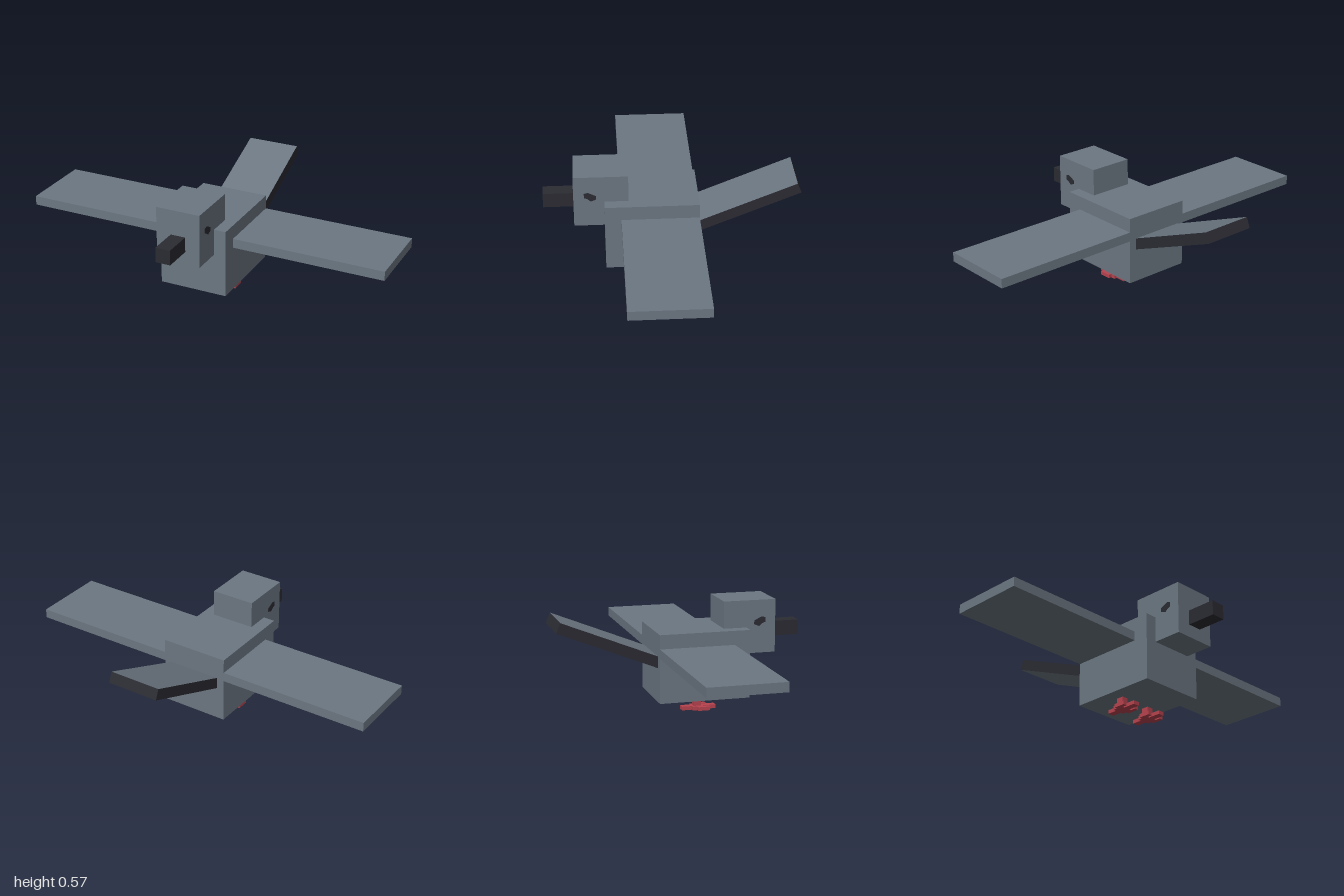
import * as THREE from 'three';

const mat = (name, color) => {
  const m = new THREE.MeshStandardMaterial({ color });
  m.name = name;
  return m;
};

export function createModel() {
  const group = new THREE.Group();
  const grey = mat('slateGrey', 0x6c7782);
  const dark = mat('charcoal', 0x2b2b33);
  const red = mat('footRed', 0xb8434f);

  const add = (name, geometry, material) => {
    const mesh = new THREE.Mesh(geometry, material);
    mesh.name = name;
    group.add(mesh);
    return mesh;
  };
  // box given by its lower and upper limits on each axis
  const box = (name, material, [x0, x1], [y0, y1], [z0, z1]) => {
    const mesh = add(name, new THREE.BoxGeometry(x1 - x0, y1 - y0, z1 - z0), material);
    mesh.position.set((x0 + x1) / 2, (y0 + y1) / 2, (z0 + z1) / 2);
    return mesh;
  };

  box('body', grey, [-0.185, 0.185], [0.065, 0.43], [-0.14, 0.35]);
  box('head', grey, [-0.12, 0.12], [0.29, 0.575], [0.225, 0.51]);
  box('beak', dark, [-0.04, 0.04], [0.36, 0.44], [0.51, 0.67]);

  // raised tail: grey above and below, dark rim
  const tail = add('tail', new THREE.BoxGeometry(0.285, 0.058, 0.58),
    [dark, dark, grey, grey, dark, dark]);
  tail.position.set(0, 0.379, -0.391);
  tail.rotation.x = 0.382;

  // foot outline: half of it, mirrored; x across, y forward
  const half = [[0.018, 0], [0.018, 0.055], [0.035, 0.055], [0.035, 0.08], [0.052, 0.08],
    [0.052, 0.145], [0.03, 0.145], [0.03, 0.115], [0.018, 0.115], [0.018, 0.185]];
  const outline = [...half, ...half.map(([x, y]) => [-x, y]).reverse()];
  const footGeo = new THREE.ExtrudeGeometry(
    new THREE.Shape(outline.map(([x, y]) => new THREE.Vector2(x, y))),
    { depth: 0.02, bevelEnabled: false });
  footGeo.rotateX(Math.PI / 2).translate(0, 0.02, 0);

  // eye outline: z and y on the side of the head
  const eyeShape = new THREE.Shape([[0.455, 0.48], [0.435, 0.485], [0.415, 0.476], [0.393, 0.465],
    [0.393, 0.445], [0.42, 0.434], [0.438, 0.45], [0.455, 0.455]]
    .map(([z, y]) => new THREE.Vector2(-z, y)));
  const eyeGeo = new THREE.ExtrudeGeometry(eyeShape, { depth: 0.004, bevelEnabled: false });
  eyeGeo.rotateY(Math.PI / 2).translate(-0.002, 0, 0);

  for (const [side, s] of [['left', 1], ['right', -1]]) {
    const span = (a, b) => (s > 0 ? [a, b] : [-b, -a]);
    box(side + 'Wing', grey, span(0.185, 1), [0.305, 0.355], [-0.14, 0.265]);
    box(side + 'Leg', red, span(0.074, 0.11), [0.02, 0.065], [0.065, 0.105]);
    add(side + 'Foot', footGeo, red).position.x = s * 0.092;
    add(side + 'Eye', eyeGeo, dark).position.x = s * 0.12;
  }
  return group;
}
